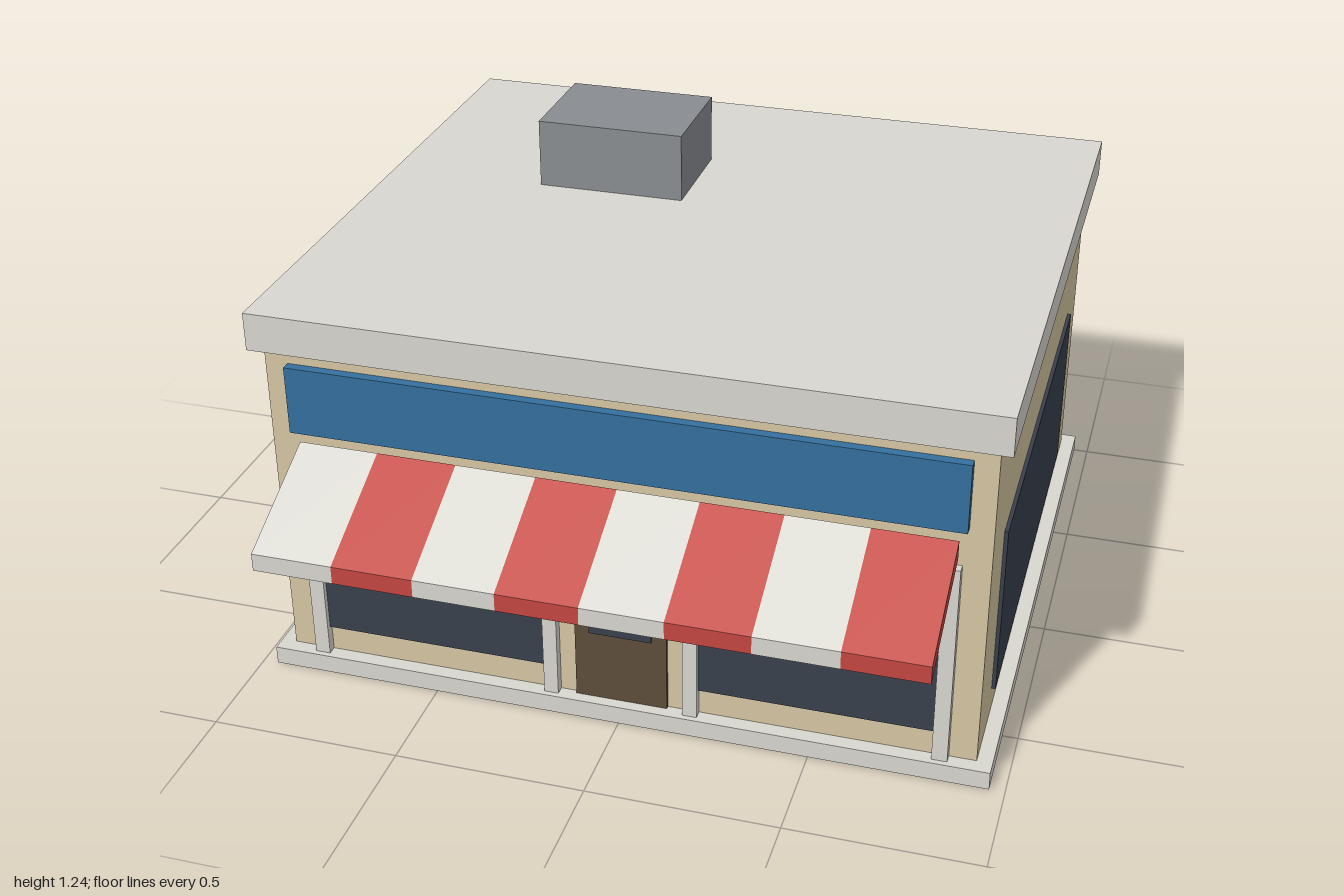
import * as THREE from 'three';

const mat = (name, color) => {
  const m = new THREE.MeshStandardMaterial({ color });
  m.name = name;
  return m;
};

export function createModel() {
  const shop = new THREE.Group();
  shop.name = 'shop';
  const wall = mat('sandWall', 0xd6c6a2);
  const trim = mat('paleTrim', 0xd8d7d0);
  const glass = mat('darkGlass', 0x38404c);
  const wood = mat('brownDoor', 0x5e4e3a);
  const blue = mat('blueSign', 0x346f9e);
  const red = mat('redCanvas', 0xc44640);
  const metal = mat('greyMetal', 0x898d91);

  // Box given by its extents on each axis
  const box = (name, material, [x0, x1], [y0, y1], [z0, z1]) => {
    const mesh = new THREE.Mesh(new THREE.BoxGeometry(x1 - x0, y1 - y0, z1 - z0), material);
    mesh.position.set((x0 + x1) / 2, (y0 + y1) / 2, (z0 + z1) / 2);
    mesh.name = name;
    shop.add(mesh);
  };

  // Building shell
  box('base', trim, [-0.96, 0.96], [0, 0.05], [-1, 0.72]);
  box('walls', wall, [-0.92, 0.92], [0.05, 0.945], [-0.96, 0.68]);
  box('roof', trim, [-0.952, 0.952], [0.945, 1.047], [-0.99, 0.712]);
  box('roofUnit', metal, [-0.515, -0.108], [1.047, 1.235], [-0.55, -0.242]);

  // Shop front
  box('signBoard', blue, [-0.86, 0.86], [0.72, 0.905], [0.68, 0.705]);
  box('door', wood, [-0.122, 0.122], [0.05, 0.53], [0.68, 0.69]);
  box('doorWindow', glass, [-0.083, 0.083], [0.25, 0.475], [0.69, 0.695]);
  for (const s of [-1, 1]) {
    const span = (a, b) => (s > 0 ? [a, b] : [-b, -a]);
    box('frontWindow', glass, span(0.205, 0.81), [0.125, 0.6], [0.68, 0.69]);
    box('innerPost', trim, span(0.167, 0.205), [0.05, 0.615], [0.68, 0.705]);
    box('outerPost', trim, span(0.81, 0.85), [0.05, 0.615], [0.68, 0.705]);
  }
  box('sideWindow', glass, [0.92, 0.93], [0.125, 0.597], [-0.75, 0.477]);

  // Striped sloping awning: one extruded slab per stripe
  const awning = new THREE.Group();
  awning.name = 'awning';
  const profile = new THREE.Shape([[0.693, 0.64], [1, 0.497], [1, 0.545], [0.693, 0.69]]
    .map(([z, y]) => new THREE.Vector2(-z, y)));
  const width = 0.21;
  const stripe = new THREE.ExtrudeGeometry(profile, { depth: width, bevelEnabled: false });
  stripe.rotateY(Math.PI / 2);
  for (let i = 0; i < 8; i++) {
    const mesh = new THREE.Mesh(stripe, i % 2 ? red : trim);
    mesh.position.x = -0.84 + i * width;
    mesh.name = 'awningStripe';
    awning.add(mesh);
  }
  shop.add(awning);
  return shop;
}
